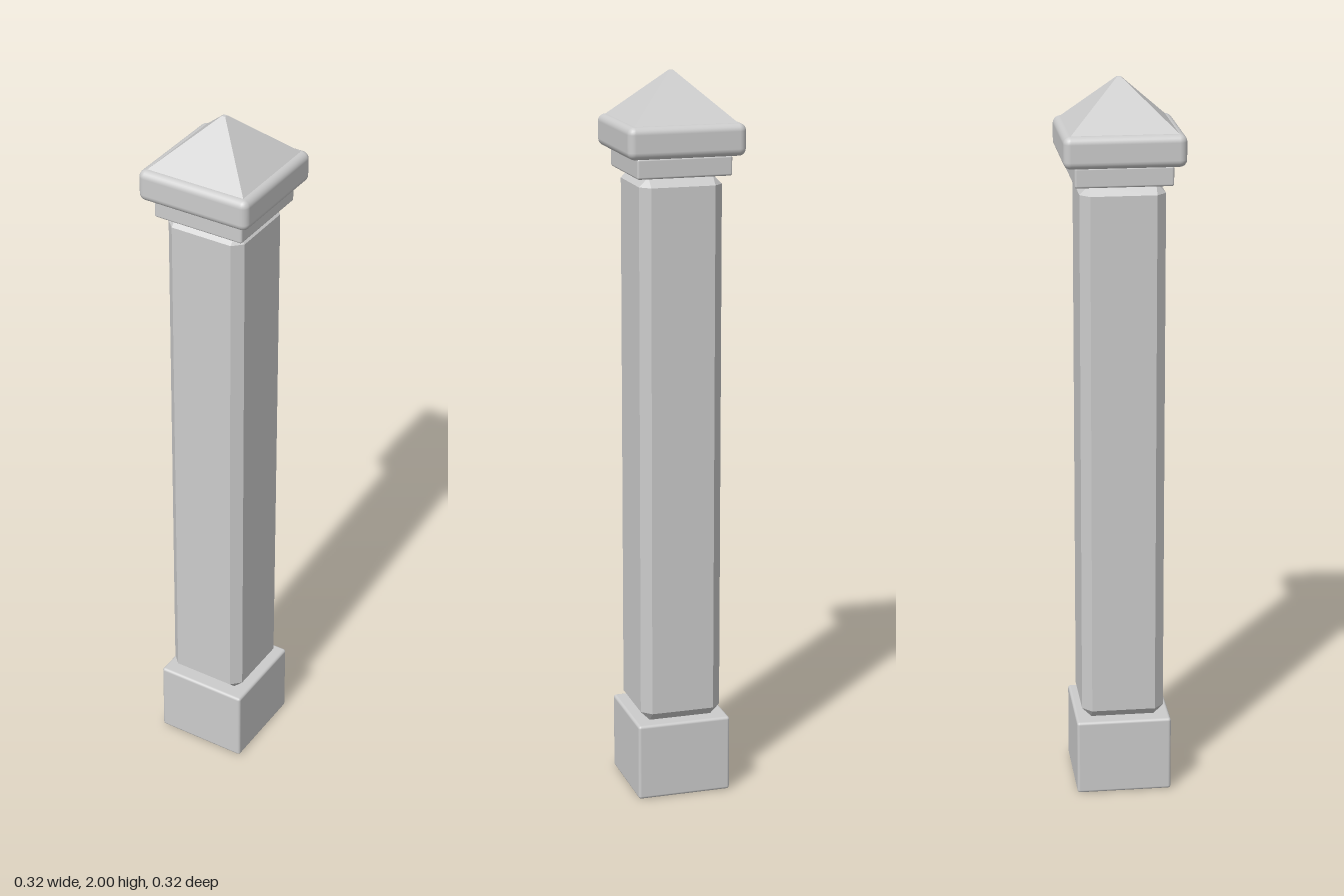
import * as THREE from 'three';
import { RoundedBoxGeometry } from 'three/addons/geometries/RoundedBoxGeometry.js';
import { ConvexGeometry } from 'three/addons/geometries/ConvexGeometry.js';

const smooth = new THREE.MeshStandardMaterial({ color: 0xcccccc });
const flat = new THREE.MeshStandardMaterial({ color: 0xcccccc, flatShading: true });

// Square block with every edge cut at 45 degrees.
function chamferedBlock(half, height, cut) {
  const points = [];
  const h = height / 2;
  for (const x of [-1, 1]) for (const y of [-1, 1]) for (const z of [-1, 1]) {
    points.push(
      new THREE.Vector3(x * half, y * (h - cut), z * (half - cut)),
      new THREE.Vector3(x * (half - cut), y * h, z * (half - cut)),
      new THREE.Vector3(x * (half - cut), y * (h - cut), z * half),
    );
  }
  return new ConvexGeometry(points);
}

// Square block with rounded edges.
function roundedBlock(half, height, radius) {
  return new RoundedBoxGeometry(half * 2, height, half * 2, 3, radius);
}

export function createModel() {
  const group = new THREE.Group();

  function add(name, geometry, material, bottom, top) {
    const mesh = new THREE.Mesh(geometry, material);
    mesh.name = name;
    mesh.position.y = (bottom + top) / 2;
    group.add(mesh);
  }

  // Plinth, shaft, collar and cap, stacked from the ground up
  add('base', roundedBlock(0.132, 0.216, 0.008), smooth, 0, 0.216);
  add('shaft', chamferedBlock(0.114, 1.517, 0.026), flat, 0.216, 1.733);
  add('collar', roundedBlock(0.13, 0.054, 0.006), smooth, 1.733, 1.787);
  add('capSlab', roundedBlock(0.161, 0.086, 0.02), smooth, 1.787, 1.873);

  // Pyramid roof with a tiny blunt tip
  const roof = new THREE.CylinderGeometry(0.005 * Math.SQRT2, 0.144 * Math.SQRT2, 0.13, 4);
  roof.rotateY(Math.PI / 4);
  add('capRoof', roof, flat, 1.87, 2);

  return group;
}
